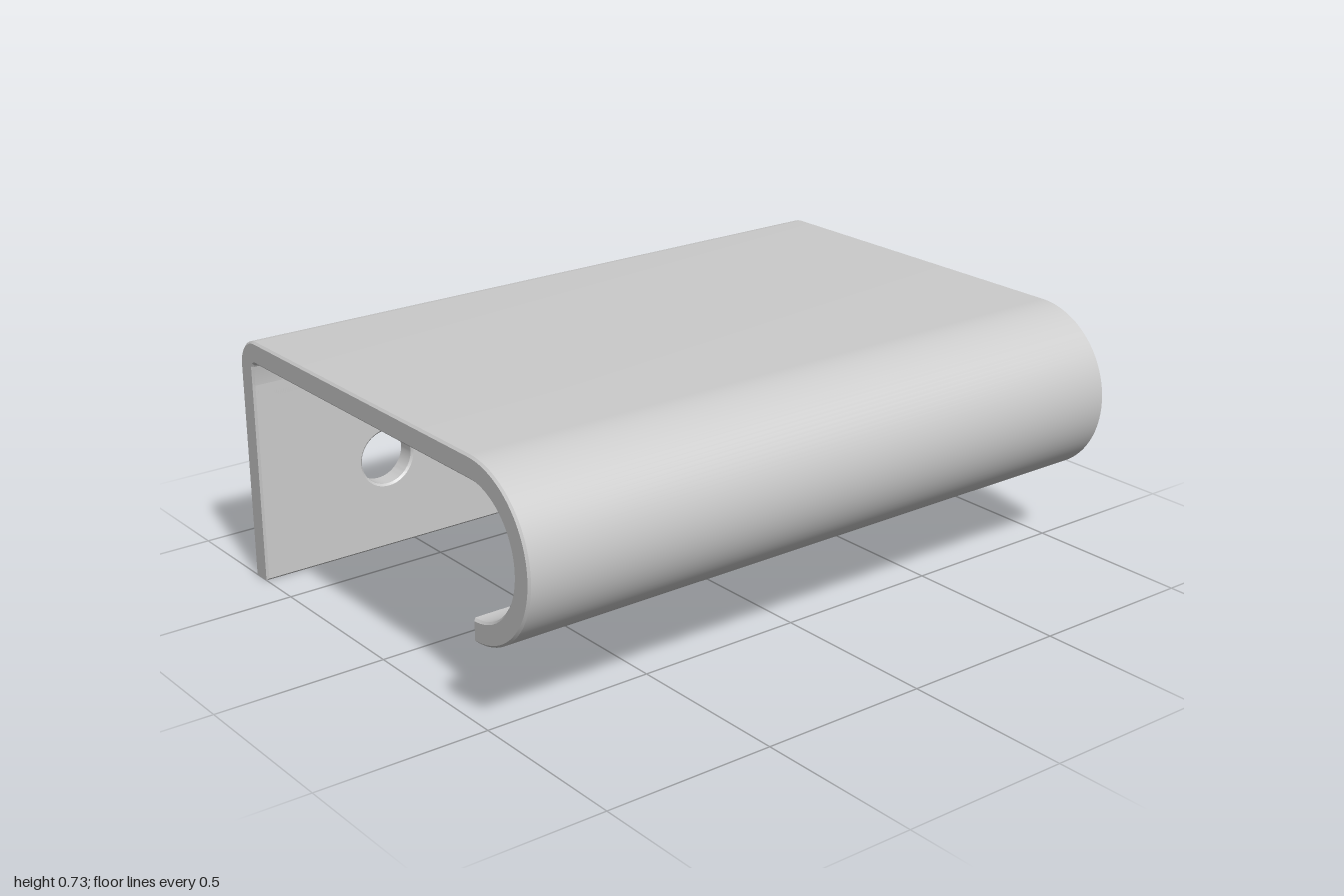
import * as THREE from 'three';
import { toCreasedNormals } from 'three/addons/utils/BufferGeometryUtils.js';

const WIDTH = 2, THICK = 0.065, EDGE = 0.006;
const TOP = 0.727, BACK = -0.7;

// Extrude a shape to a total depth, centred, with small chamfered edges
function extrudeSheet(shape, depth) {
  const g = new THREE.ExtrudeGeometry(shape, {
    depth: depth - 2 * EDGE, curveSegments: 32,
    bevelEnabled: true, bevelSegments: 1,
    bevelSize: EDGE, bevelThickness: EDGE, bevelOffset: -EDGE,
  });
  return g.translate(0, 0, EDGE - depth / 2);
}

export function createModel() {
  const group = new THREE.Group();
  group.name = 'hookedBracket';
  const material = new THREE.MeshStandardMaterial({ color: 0xcccccc });
  const add = (geometry, name) => {
    const mesh = new THREE.Mesh(toCreasedNormals(geometry, 0.6), material);
    mesh.name = name;
    group.add(mesh);
  };

  // Side profile (z, y): curled front lip, flat top, rounded back bend
  const curlR = 0.25, curlZ = 0.45, curlY = TOP - curlR;
  const bendR = 0.085, bendZ = BACK + bendR, bendY = TOP - bendR;
  const H = Math.PI / 2;
  const profile = new THREE.Shape();
  profile.absarc(curlZ, curlY, curlR, -H, H, false);
  profile.absarc(bendZ, bendY, bendR, H, Math.PI, false);
  profile.lineTo(BACK, 0.55);
  profile.lineTo(BACK + THICK, 0.55);
  profile.absarc(bendZ, bendY, bendR - THICK, Math.PI, H, true);
  profile.absarc(curlZ, curlY, curlR - THICK, H, -H, true);
  add(extrudeSheet(profile, WIDTH).rotateY(-H), 'curledTop');

  // Back plate with two screw holes, running up into the bend
  const plate = new THREE.Shape();
  plate.moveTo(-WIDTH / 2, 0);
  plate.lineTo(WIDTH / 2, 0);
  plate.lineTo(WIDTH / 2, 0.6);
  plate.lineTo(-WIDTH / 2, 0.6);
  for (const side of [-1, 1]) {
    plate.holes.push(new THREE.Path().absarc(side * 0.585, 0.28, 0.083, 0, Math.PI * 2, true));
  }
  add(extrudeSheet(plate, THICK).translate(0, 0, BACK + THICK / 2), 'backPlate');

  return group;
}
